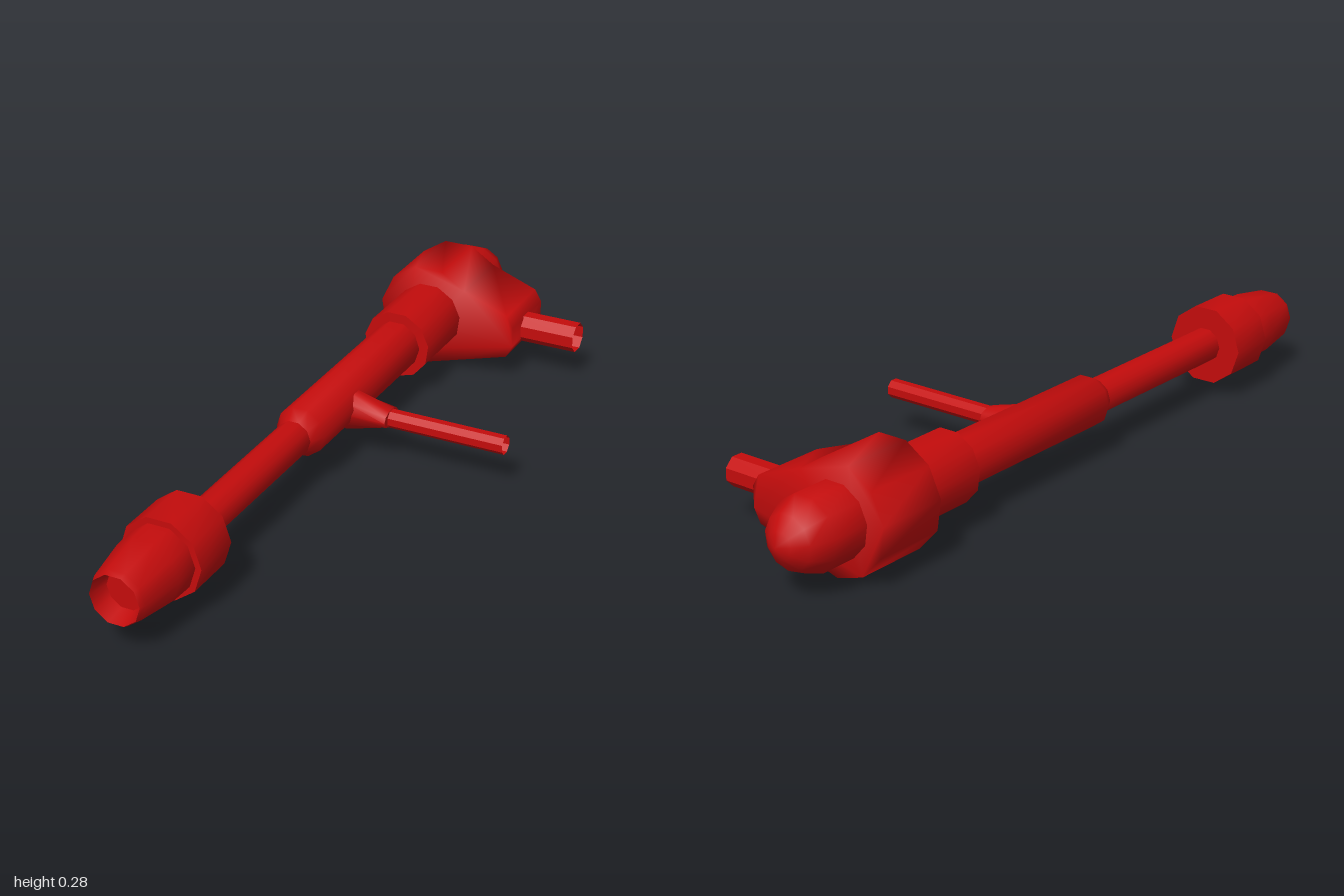
import * as THREE from 'three';
import { mergeVertices, toCreasedNormals } from 'three/addons/utils/BufferGeometryUtils.js';

const AXIS_X = -0.167, AXIS_Y = 0.145;

export function createModel() {
  const group = new THREE.Group();
  const red = new THREE.MeshStandardMaterial({ color: 0xc40c0c });
  const redOpen = new THREE.MeshStandardMaterial({ color: 0xc40c0c, side: THREE.DoubleSide });

  const add = (name, geometry, material = red) => {
    const mesh = new THREE.Mesh(geometry, material);
    mesh.name = name;
    group.add(mesh);
    return mesh;
  };

  // Turned part along the main axis; profile is [radius, z] with z rising
  const turned = (name, profile, sides = 10, start = Math.PI / 10) => {
    const points = profile.map(([r, z]) => new THREE.Vector2(r, z));
    const g = new THREE.LatheGeometry(points, sides, start);
    g.rotateX(Math.PI / 2);
    g.translate(AXIS_X, AXIS_Y, 0);
    return add(name, toCreasedNormals(g, 0.95));
  };

  // Hollow muzzle with a collar behind it
  turned('muzzle', [
    [0, 0.67], [0.108, 0.67], [0.108, 0.805], [0.092, 0.805], [0.09, 0.87],
    [0.072, 0.985], [0.066, 1], [0.052, 0.95], [0, 0.95],
  ]);
  turned('barrel', [[0.047, 0.14], [0.047, 0.68]]);
  turned('sleeve', [[0.068, -0.42], [0.068, 0.135], [0.047, 0.17]]);

  // Rear body and rounded tail
  turned('rearBody', [[0.095, -0.62], [0.095, -0.41], [0, -0.41]], 11, 0);
  turned('tail', [[0, -1], [0.035, -0.985], [0.068, -0.96], [0.095, -0.905], [0.095, -0.79]], 11, 0);

  // Teardrop housing, softly shaded across its edges
  const outline = [
    [-0.31, 0.165], [-0.298, 0.085], [-0.243, 0.025], [-0.167, 0.002], [-0.09, 0.024],
    [0.068, 0.07], [0.087, 0.105], [0.087, 0.16], [0.068, 0.192],
    [-0.06, 0.24], [-0.127, 0.284], [-0.208, 0.284], [-0.275, 0.24],
  ];
  const shape = new THREE.Shape(outline.map(([x, y]) => new THREE.Vector2(x, y)));
  let housing = new THREE.ExtrudeGeometry(shape, { depth: 0.195, bevelEnabled: false });
  housing.translate(0, 0, -0.805);
  housing.deleteAttribute('normal');
  housing.deleteAttribute('uv');
  housing = mergeVertices(housing);
  housing.computeVertexNormals();
  add('housing', housing);

  // Open side tubes pointing to +x
  const sideTube = (name, radius, x0, x1, y, z) => {
    const g = new THREE.CylinderGeometry(radius, radius, x1 - x0, 8, 1, true, Math.PI / 8);
    g.rotateZ(-Math.PI / 2);
    g.translate((x0 + x1) / 2, y, z);
    add(name, toCreasedNormals(g, 0.5), redOpen);
  };
  sideTube('rearTube', 0.041, 0.05, 0.24, 0.126, -0.703);
  sideTube('sideRod', 0.025, -0.04, 0.308, 0.126, -0.0625);

  // Flared root of the side rod: narrows in height, keeps its width
  const root = new THREE.CylinderGeometry(0.04, 0.04, 0.125, 10);
  root.rotateZ(-Math.PI / 2);
  const p = root.attributes.position;
  for (let i = 0; i < p.count; i++) p.setY(i, p.getY(i) * (p.getX(i) > 0 ? 0.6 : 1.5));
  root.translate(-0.0725, 0.128, -0.0615);
  add('rodRoot', toCreasedNormals(root, 0.95));

  return group;
}
